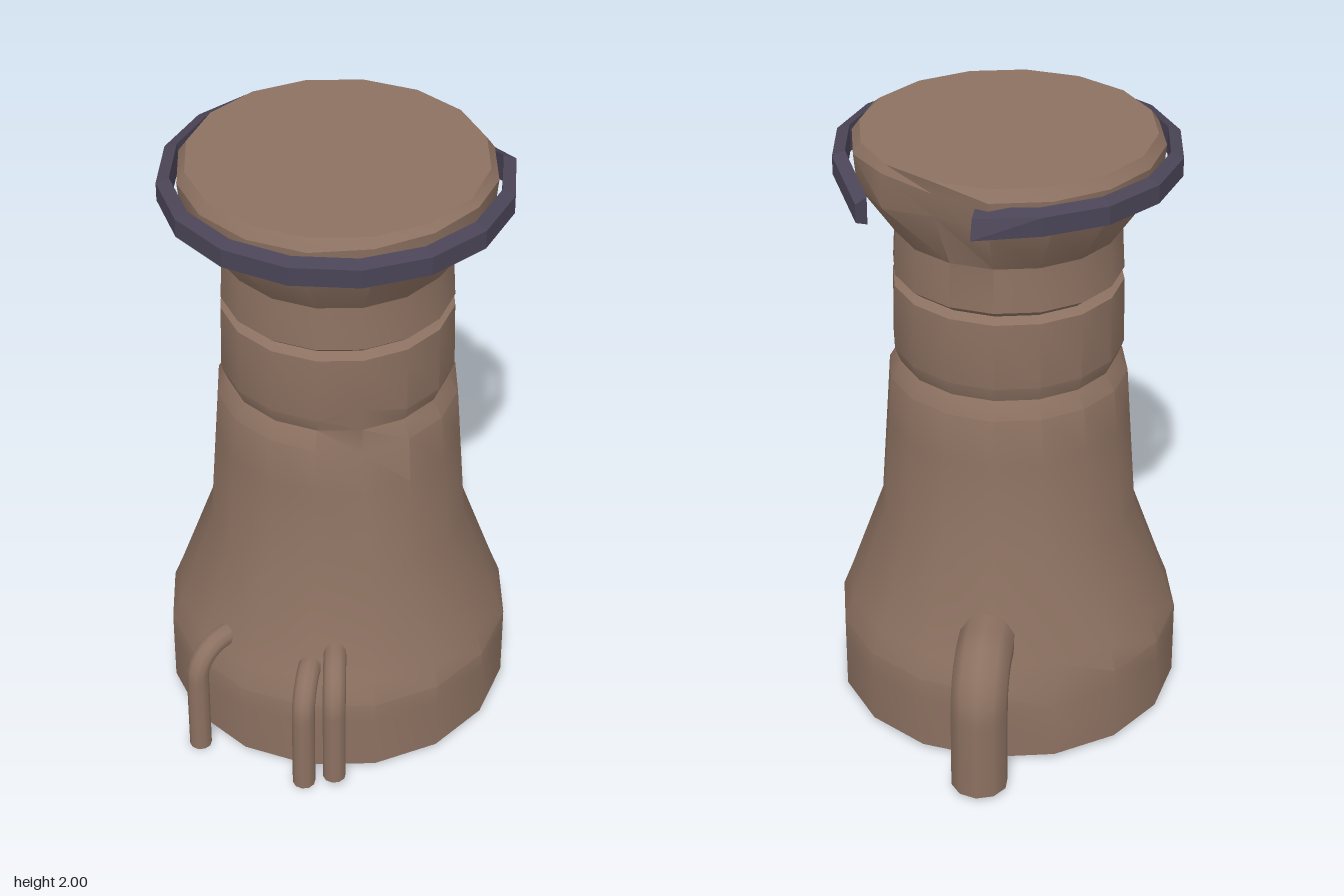
import * as THREE from 'three';
import { toCreasedNormals } from 'three/addons/utils/BufferGeometryUtils.js';

const CENTER_Z = 0.055;
const SIDES = 16;

export function createModel() {
  const model = new THREE.Group();
  model.name = 'chimneyTower';

  const clay = new THREE.MeshStandardMaterial({ color: 0x8c7161, side: THREE.DoubleSide });
  clay.name = 'brown clay';
  const iron = new THREE.MeshStandardMaterial({ color: 0x4a4456 });
  iron.name = 'dark iron';

  const add = (name, geometry, material) => {
    const mesh = new THREE.Mesh(geometry, material);
    mesh.name = name;
    model.add(mesh);
    return mesh;
  };

  // Tower body: a 16-sided turned shell, open below, closed on top
  const profile = [
    [0.565, 0.02], [0.565, 0.2], [0.565, 0.28], [0.534, 0.36], [0.42, 0.68],
    [0.396, 1.02], [0.385, 1.18], [0.352, 1.235], [0.371, 1.285], [0.367, 1.505],
    [0.338, 1.522], [0.366, 1.545], [0.358, 1.69], [0.475, 1.86], [0.485, 1.965],
    [0.46, 2.0], [0, 2.0],
  ].map(([r, y]) => new THREE.Vector2(r, y));
  const body = new THREE.LatheGeometry(profile, SIDES);

  // Dents and worn edges: [side, ring, scale of radius, change in height]
  const dents = [
    [1, 6, 0.94, -0.03], [1, 8, 0.99, 0.035], [9, 2, 0.96, 0],
    [7, 13, 0.94, 0.02], [7, 14, 0.93, -0.01], [6, 14, 0.98, 0.01],
    [1, 14, 1, 0.01], [2, 14, 1, 0.015], [3, 14, 1, 0.015],
  ];
  const pos = body.attributes.position;
  for (let side = 0; side <= SIDES; side++) {
    for (const [s, ring, scale, lift] of dents) {
      if (s !== side % SIDES) continue;
      const i = side * profile.length + ring;
      pos.setXYZ(i, pos.getX(i) * scale, pos.getY(i) + lift, pos.getZ(i) * scale);
    }
  }
  add('towerBody', toCreasedNormals(body, THREE.MathUtils.degToRad(29)), clay)
    .position.z = CENTER_Z;

  // Broken iron hoop around the rim, with a drooping end
  add('rimHoop', hoopGeometry(), iron).position.set(0, 1.915, CENTER_Z);

  // Bent pipes: foot, end in the wall, radius, bend size
  const pipes = [
    ['frontRightPipe', [-0.37, 0.005, 0.565], [-0.265, 0.405, 0.42], 0.036, 0.11],
    ['frontMiddlePipe', [0, 0.005, 0.68], [0, 0.405, 0.49], 0.037, 0.11],
    ['frontLeftPipe', [0.1, 0.05, 0.68], [0.07, 0.45, 0.49], 0.037, 0.12],
    ['backPipe', [0.008, 0.02, -0.632], [0.008, 0.43, -0.41], 0.092, 0.13],
  ];
  for (const [name, foot, end, radius, bend] of pipes) {
    add(name, pipeGeometry(foot, end, radius, bend), clay);
  }
  return model;
}

// A vertical pipe that bends over and runs level into the wall
function pipeGeometry(foot, end, radius, bend) {
  const a = new THREE.Vector3(...foot);
  const c = new THREE.Vector3(...end);
  const corner = new THREE.Vector3(a.x, c.y, a.z);
  const inward = c.clone().sub(corner).normalize();
  const bendStart = corner.clone().setY(corner.y - bend);
  const bendEnd = corner.clone().addScaledVector(inward, bend);
  const path = new THREE.CurvePath();
  path.add(new THREE.LineCurve3(a, bendStart));
  // two-thirds handles make the bend close to a quarter circle
  path.add(new THREE.CubicBezierCurve3(
    bendStart, bendStart.clone().lerp(corner, 0.55),
    bendEnd.clone().lerp(corner, 0.55), bendEnd,
  ));
  path.add(new THREE.LineCurve3(bendEnd, c));
  return new THREE.TubeGeometry(path, 20, radius, 10, false);
}

// Faceted hoop with a tapered section, swept from the back round the front
function hoopGeometry() {
  const steps = 14;
  const section = [[0.502, -0.045], [0.542, -0.03], [0.542, 0.03], [0.502, 0.045]];
  const points = [];
  for (let i = 0; i <= steps; i++) {
    const angle = THREE.MathUtils.degToRad(175 + i * 22.5);
    const drop = i === steps ? -0.07 : i === 0 ? -0.02 : 0;
    for (const [r, y] of section) {
      const lean = i === 0 ? -0.02 - y * 0.4 : 0;
      points.push(new THREE.Vector3(
        Math.sin(angle) * (r + lean), y + drop, Math.cos(angle) * (r + lean),
      ));
    }
  }
  const out = [];
  const quad = (a, b, c, d) => {
    for (const k of [a, b, c, a, c, d]) out.push(...points[k].toArray());
  };
  for (let i = 0; i < steps; i++) {
    for (let j = 0; j < 4; j++) {
      const k = (j + 1) % 4;
      quad(i * 4 + j, i * 4 + 4 + j, i * 4 + 4 + k, i * 4 + k);
    }
  }
  quad(0, 1, 2, 3);
  const e = steps * 4;
  quad(e + 3, e + 2, e + 1, e);
  const geometry = new THREE.BufferGeometry();
  geometry.setAttribute('position', new THREE.Float32BufferAttribute(out, 3));
  geometry.computeVertexNormals();
  return geometry;
}
